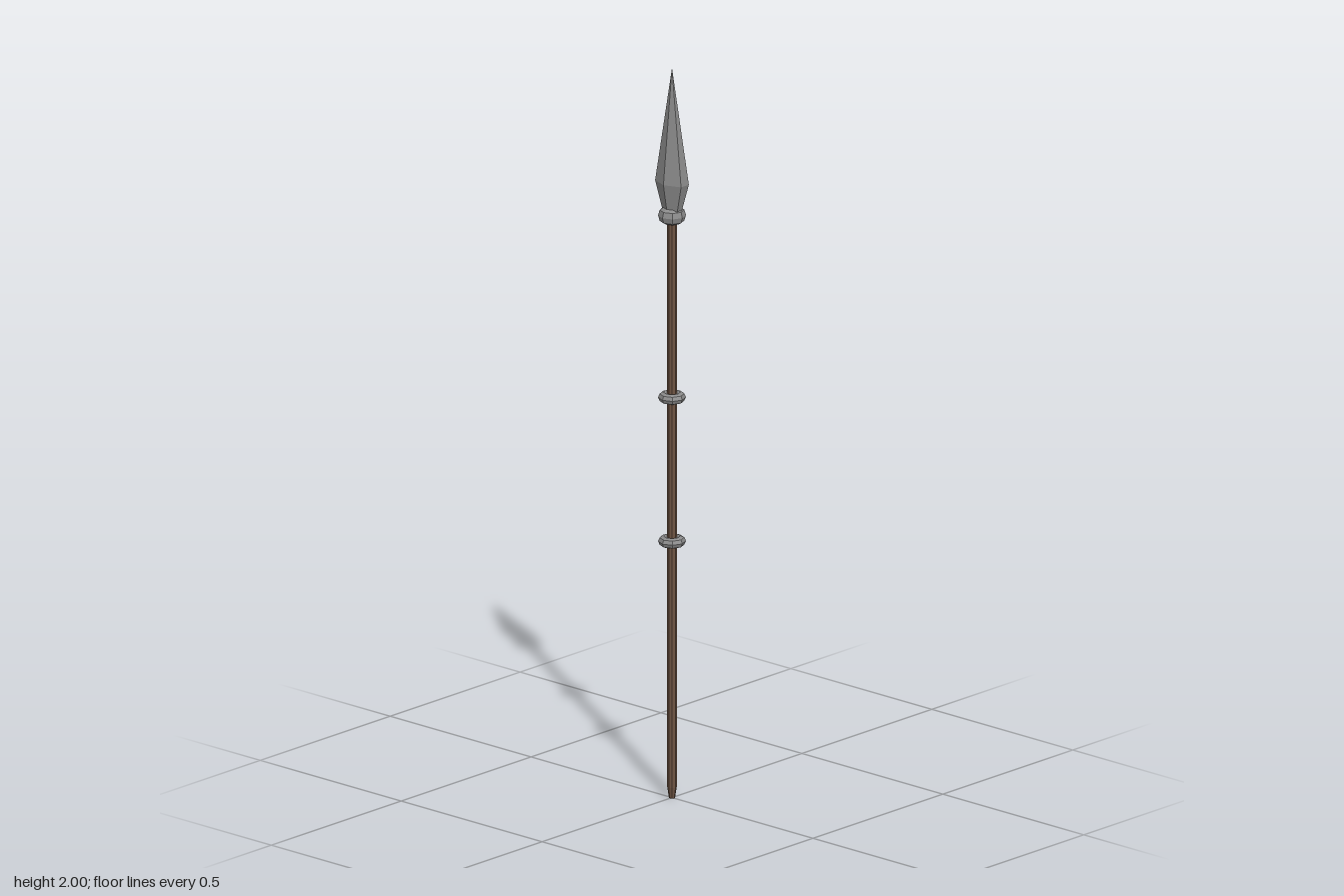
import * as THREE from 'three';

// Closed faceted solid from hexagonal blade sections: [y, half width, half depth, half edge thickness]
function bladeGeometry(sections) {
  const loops = sections.map(([y, w, d, e]) => [
    [0, y, d], [w, y, e], [w, y, -e], [0, y, -d], [-w, y, -e], [-w, y, e],
  ]);
  const pos = [];
  const tri = (a, b, c) => pos.push(...a, ...b, ...c);
  for (let s = 0; s < loops.length - 1; s++) {
    for (let i = 0; i < 6; i++) {
      const j = (i + 1) % 6;
      const lo = loops[s], hi = loops[s + 1];
      tri(lo[i], lo[j], hi[j]);
      tri(lo[i], hi[j], hi[i]);
    }
  }
  for (let i = 1; i < 5; i++) tri(loops[0][0], loops[0][i + 1], loops[0][i]);
  const g = new THREE.BufferGeometry();
  g.setAttribute('position', new THREE.Float32BufferAttribute(pos, 3));
  g.computeVertexNormals();
  return g;
}

// Rounded band around the shaft
function bandGeometry(halfHeight) {
  const profile = [];
  for (let i = 0; i <= 8; i++) {
    const a = -Math.PI + (i / 8) * Math.PI * 2;
    profile.push(new THREE.Vector2(0.022 + 0.0145 * Math.cos(a), halfHeight * Math.sin(a)));
  }
  return new THREE.LatheGeometry(profile, 8);
}

export function createModel() {
  const model = new THREE.Group();
  model.name = 'spear';
  const wood = new THREE.MeshStandardMaterial({ color: 0x6e5443, flatShading: true });
  wood.name = 'brown wood';
  const steel = new THREE.MeshStandardMaterial({ color: 0x8a8a8a, flatShading: true });
  steel.name = 'grey steel';

  const add = (name, geometry, material, y = 0) => {
    const mesh = new THREE.Mesh(geometry, material);
    mesh.name = name;
    mesh.position.y = y;
    model.add(mesh);
  };

  // Shaft with a tapered butt
  const shaft = [[0, 0], [0.008, 0], [0.0125, 0.03], [0.0125, 1.61], [0, 1.61]];
  add('shaft', new THREE.LatheGeometry(shaft.map(p => new THREE.Vector2(...p)), 8), wood);

  // Grip bands and the heavier collar below the head
  add('lowerBand', bandGeometry(0.014), steel, 0.705);
  add('upperBand', bandGeometry(0.014), steel, 1.1);
  add('collar', bandGeometry(0.021), steel, 1.6);

  // Ridged blade ending in a point
  add('spearhead', bladeGeometry([
    [1.605, 0.024, 0.018, 0.008],
    [1.69, 0.046, 0.033, 0.015],
    [2, 0.0006, 0.0006, 0.0003],
  ]), steel);

  return model;
}
